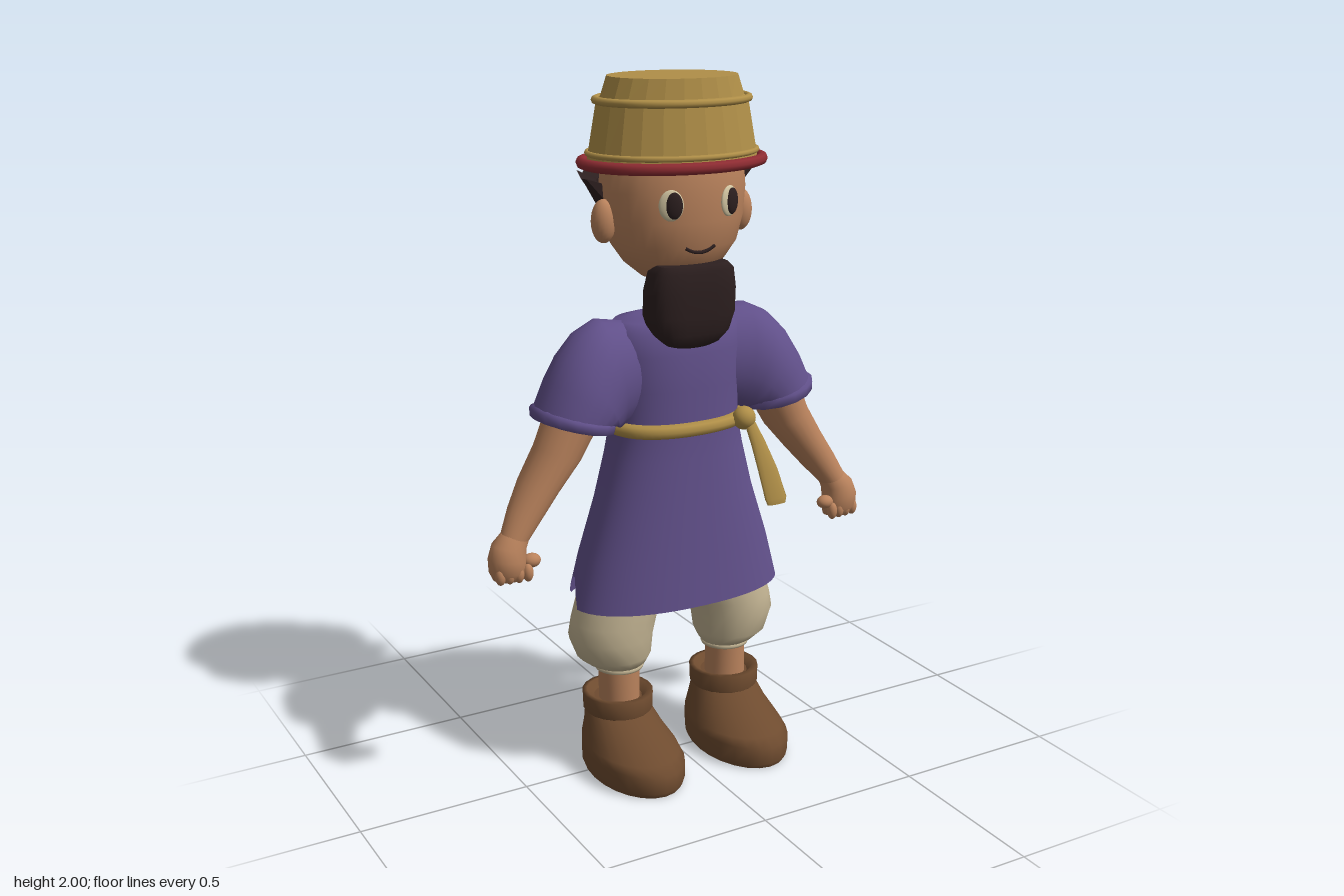
import * as THREE from 'three';

const colours = {
  skin: 0xb9825c, tunic: 0x61508a, gold: 0xb08f48, red: 0x8e2c32, hair: 0x2c1f1f,
  trousers: 0xc2b392, boot: 0x6e4b2f, eyeWhite: 0xd3c6a2,
};
const mats = {};

// One level cross-section: half width, front z, back z, centre x, squareness
function level([y, rx, zf, zb, cx = 0, p = 1], n = 28) {
  const pts = [];
  for (let j = 0; j < n; j++) {
    const a = (j / n) * Math.PI * 2, s = Math.sin(a), c = Math.cos(a);
    pts.push(new THREE.Vector3(
      cx + rx * Math.sign(s) * Math.abs(s) ** p, y,
      (zf + zb) / 2 + ((zf - zb) / 2) * Math.sign(c) * Math.abs(c) ** p));
  }
  return pts;
}

// One limb cross-section between an outer and an inner edge point
function slice([ox, oy, ix, iy, zc, rz], n = 20) {
  const pts = [];
  for (let j = 0; j < n; j++) {
    const a = (j / n) * Math.PI * 2, k = Math.cos(a) / 2;
    pts.push(new THREE.Vector3((ox + ix) / 2 + (ox - ix) * k, (oy + iy) / 2 + (oy - iy) * k, zc + rz * Math.sin(a)));
  }
  return pts;
}

// Skin a list of closed cross-sections, with optional end caps
function loft(rings, capStart = true, capEnd = true, flat = false) {
  const n = rings[0].length, pos = [], idx = [];
  rings.forEach(r => r.forEach(p => pos.push(p.x, p.y, p.z)));
  for (let i = 0; i < rings.length - 1; i++) {
    for (let j = 0; j < n; j++) {
      const a = i * n + j, b = i * n + ((j + 1) % n);
      idx.push(a, b, b + n, a, b + n, a + n);
    }
  }
  const cap = (ring, end) => {
    const base = pos.length / 3, c = new THREE.Vector3();
    ring.forEach(p => { pos.push(p.x, p.y, p.z); c.addScaledVector(p, 1 / n); });
    pos.push(c.x, c.y, c.z);
    for (let j = 0; j < n; j++) {
      const a = base + j, b = base + ((j + 1) % n);
      idx.push(base + n, ...(end ? [a, b] : [b, a]));
    }
  };
  if (capStart) cap(rings[0], false);
  if (capEnd) cap(rings[rings.length - 1], true);
  let g = new THREE.BufferGeometry();
  g.setAttribute('position', new THREE.Float32BufferAttribute(pos, 3));
  g.setIndex(idx);
  if (flat) g = g.toNonIndexed();
  g.computeVertexNormals();
  return g;
}

const levels = (list, n) => list.map(s => level(s, n));
const slices = (list, n) => list.map(s => slice(s, n));
const band = (pts, r) => new THREE.TubeGeometry(new THREE.CatmullRomCurve3(pts, true), 56, r, 8, true);

function ball(x, y, z, rx, ry, rz, turn = 0) {
  return new THREE.SphereGeometry(1, 20, 14).scale(rx, ry, rz).rotateY(turn).translate(x, y, z);
}

// Mirror across x, keeping faces outward
function mirrored(geo) {
  const g = geo.clone().scale(-1, 1, 1);
  const list = g.index.array;
  for (let i = 0; i < list.length; i += 3) [list[i], list[i + 1]] = [list[i + 1], list[i]];
  return g;
}

export function createModel() {
  const model = new THREE.Group();
  model.name = 'villager';
  for (const name in colours) {
    mats[name] = new THREE.MeshStandardMaterial({ color: colours[name] });
    mats[name].name = name;
  }
  mats.tunic.side = mats.gold.side = THREE.DoubleSide;

  const add = (name, geo, mat) => {
    const mesh = new THREE.Mesh(geo, mats[mat]);
    mesh.name = name;
    model.add(mesh);
  };
  const pair = (name, geo, mat) => {
    add('left' + name, geo, mat);
    add('right' + name, mirrored(geo), mat);
  };

  // Boots and ankles
  pair('Boot', loft(levels([
    [0, 0.126, 0.25, -0.152, 0.178], [0.015, 0.132, 0.258, -0.158, 0.178], [0.065, 0.132, 0.26, -0.16, 0.178],
    [0.085, 0.128, 0.225, -0.157, 0.178], [0.125, 0.11, 0.145, -0.147, 0.18], [0.175, 0.094, 0.065, -0.135, 0.183],
  ], 24)), 'boot');
  pair('BootCuff', loft(levels([
    [0.165, 0.096, 0.07, -0.138, 0.183], [0.172, 0.102, 0.076, -0.14, 0.183],
    [0.222, 0.104, 0.076, -0.14, 0.183], [0.224, 0.09, 0.06, -0.125, 0.183], [0.205, 0.07, 0.045, -0.105, 0.183],
  ], 20)), 'boot');
  pair('Ankle', loft(levels([[0.19, 0.06, 0.037, -0.085, 0.182], [0.33, 0.06, 0.037, -0.085, 0.182]])), 'skin');

  // Baggy trouser legs, gathered at the bottom
  pair('TrouserLeg', loft(levels([
    [0.31, 0.068, 0.042, -0.09, 0.18], [0.325, 0.088, 0.062, -0.112, 0.188], [0.35, 0.11, 0.082, -0.135, 0.198],
    [0.41, 0.125, 0.09, -0.148, 0.206], [0.46, 0.127, 0.09, -0.148, 0.195], [0.53, 0.13, 0.086, -0.146, 0.172],
    [0.68, 0.112, 0.07, -0.13, 0.125],
  ], 18)), 'trousers');
  pair('TrouserBand', band(level([0.308, 0.064, 0.04, -0.088, 0.181]), 0.009), 'trousers');

  // Tunic: open skirt with a notch in each side of the hem
  const body = levels([
    [0.52, 0.331, 0.158, -0.197, 0, 0.88], [0.66, 0.295, 0.145, -0.184, 0, 0.88], [0.82, 0.243, 0.13, -0.168, 0, 0.88],
    [0.95, 0.21, 0.119, -0.154, 0, 0.88], [1.04, 0.192, 0.113, -0.147, 0, 0.88], [1.15, 0.197, 0.114, -0.151, 0, 0.88],
    [1.25, 0.205, 0.108, -0.153, 0, 0.88], [1.31, 0.2, 0.094, -0.148, 0, 0.88], [1.337, 0.17, 0.07, -0.13, 0, 0.9],
    [1.345, 0.11, 0.04, -0.11], [1.34, 0.065, 0.022, -0.1],
  ], 56);
  body[0].forEach(p => {
    const rise = Math.max(0, 0.09 * (1 - Math.abs(p.z + 0.055) / 0.06));
    p.y += rise;
    p.x *= 1 - rise * 0.8;
  });
  add('tunic', loft(body, false, true), 'tunic');
  pair('Sleeve', loft(slices([
    [0.14, 1.335, 0.13, 1.05, -0.03, 0.1], [0.235, 1.352, 0.18, 1.035, -0.025, 0.115],
    [0.30, 1.322, 0.19, 1.035, -0.02, 0.122], [0.355, 1.265, 0.195, 1.04, -0.014, 0.124],
    [0.395, 1.2, 0.2, 1.048, -0.01, 0.125], [0.432, 1.12, 0.208, 1.06, -0.008, 0.122],
  ], 24)), 'tunic');
  pair('SleeveCuff', loft(slices([
    [0.425, 1.13, 0.212, 1.07, -0.008, 0.115], [0.442, 1.122, 0.205, 1.066, -0.008, 0.131],
    [0.44, 1.097, 0.212, 1.042, -0.008, 0.13], [0.425, 1.09, 0.225, 1.04, -0.008, 0.115],
    [0.41, 1.105, 0.24, 1.06, -0.008, 0.095],
  ], 16)), 'tunic');

  // Rope belt with knot and hanging end
  add('belt', band(level([1.04, 0.195, 0.119, -0.15, 0, 0.88], 32), 0.021), 'gold');
  add('beltKnot', ball(0.155, 1.048, 0.115, 0.034, 0.034, 0.032), 'gold');
  add('beltEnd', loft(levels([
    [0.797, 0.03, 0.189, 0.178, 0.226], [0.815, 0.036, 0.19, 0.174, 0.224], [0.9, 0.032, 0.177, 0.158, 0.204],
    [0.98, 0.024, 0.157, 0.136, 0.183], [1.045, 0.017, 0.136, 0.115, 0.163],
  ], 12)), 'gold');

  // Arms and fists
  pair('Arm', loft(slices([
    [0.40, 1.12, 0.25, 1.07, -0.006, 0.075], [0.44, 1.02, 0.312, 0.97, -0.006, 0.072],
    [0.492, 0.93, 0.382, 0.89, -0.002, 0.066], [0.533, 0.86, 0.438, 0.825, 0.012, 0.052],
    [0.565, 0.795, 0.487, 0.772, 0.028, 0.038],
  ])), 'skin');
  pair('Hand', loft(slices([
    [0.563, 0.80, 0.485, 0.775, 0.028, 0.037], [0.592, 0.772, 0.495, 0.752, 0.03, 0.045],
    [0.605, 0.735, 0.498, 0.722, 0.033, 0.05], [0.604, 0.695, 0.495, 0.692, 0.033, 0.047],
    [0.592, 0.67, 0.502, 0.668, 0.03, 0.036], [0.57, 0.661, 0.525, 0.66, 0.028, 0.018],
  ])), 'skin');
  pair('Thumb', ball(0.487, 0.718, 0.052, 0.026, 0.02, 0.022), 'skin');
  for (let i = 0; i < 4; i++) {
    pair('Finger' + (i + 1), ball(0.505 + i * 0.026, 0.69, 0.066 - i * 0.003, 0.015, 0.026, 0.016), 'skin');
  }

  // Neck, head and ears
  add('neck', loft(levels([[1.28, 0.062, 0.018, -0.095], [1.5, 0.055, 0.01, -0.088]])), 'skin');
  add('head', loft(levels([
    [1.443, 0.05, 0.03, -0.07], [1.458, 0.095, 0.067, -0.1], [1.5, 0.147, 0.103, -0.138], [1.55, 0.183, 0.13, -0.164],
    [1.62, 0.204, 0.142, -0.184], [1.7, 0.212, 0.145, -0.19], [1.78, 0.207, 0.138, -0.185], [1.86, 0.17, 0.11, -0.155],
    [1.91, 0.1, 0.06, -0.1],
  ], 36)), 'skin');
  pair('Ear', ball(0.216, 1.62, -0.019, 0.035, 0.06, 0.033), 'skin');

  // Eyes and smile
  for (const [side, s] of [['left', 1], ['right', -1]]) {
    add(side + 'Eye', ball(s * 0.09, 1.672, 0.13, 0.034, 0.042, 0.009, s * 0.37), 'eyeWhite');
    add(side + 'Pupil', ball(s * 0.091 + 0.006, 1.672, s > 0 ? 0.134 : 0.138, 0.023, 0.036, 0.009, s * 0.37), 'hair');
  }
  const smile = new THREE.CatmullRomCurve3([
    [-0.046, 1.554, 0.127], [-0.024, 1.543, 0.128], [0, 1.539, 0.129], [0.024, 1.543, 0.128], [0.046, 1.554, 0.127],
  ].map(p => new THREE.Vector3(...p)));
  add('mouth', new THREE.TubeGeometry(smile, 16, 0.005, 6), 'hair');

  // Beard
  add('beard', loft(levels([
    [1.266, 0.05, 0.1, 0.05, 0, 0.8], [1.28, 0.085, 0.118, 0.025, 0, 0.7], [1.31, 0.115, 0.131, 0.008, 0, 0.65],
    [1.36, 0.132, 0.139, 0, 0, 0.65], [1.43, 0.133, 0.141, 0.005, 0, 0.65], [1.485, 0.124, 0.139, 0.02, 0, 0.65],
    [1.503, 0.105, 0.128, 0.045, 0, 0.7],
  ], 32)), 'hair');

  // Flared fringe of hair round the back of the head
  const hairRings = [];
  for (let i = 0; i <= 26; i++) {
    const t = (i / 26) * 2 - 1, a = t * 1.55, jag = 0.5 * Math.sin(i * 2.6) + 0.5 * Math.sin(i * 4.7);
    const at = (rx, rz, y) => new THREE.Vector3(Math.sin(a) * rx, y, -0.022 - Math.cos(a) * rz);
    hairRings.push([
      at(0.212, 0.178, 1.61 + 0.07 * Math.abs(t) ** 2.2),
      at(0.262 + jag * 0.006, 0.232 + jag * 0.006, 1.735 + jag * 0.014),
      at(0.215, 0.185, 1.72),
    ]);
  }
  add('hairFringe', loft(hairRings, true, true, true), 'hair');

  // Bucket-shaped hat with a red rim and two raised hoops
  add('hatCrown', loft(levels([
    [1.772, 0.247, 0.172, -0.216], [1.935, 0.218, 0.148, -0.192], [1.945, 0.206, 0.14, -0.184], [2, 0.186, 0.131, -0.175],
  ], 24), false, true, true), 'gold');
  add('hatHoop', band(level([1.937, 0.219, 0.15, -0.194]), 0.011), 'gold');
  add('hatLowerHoop', band(level([1.797, 0.243, 0.168, -0.212]), 0.008), 'gold');
  add('hatRim', band(level([1.772, 0.26, 0.178, -0.222]), 0.016), 'red');

  return model;
}
